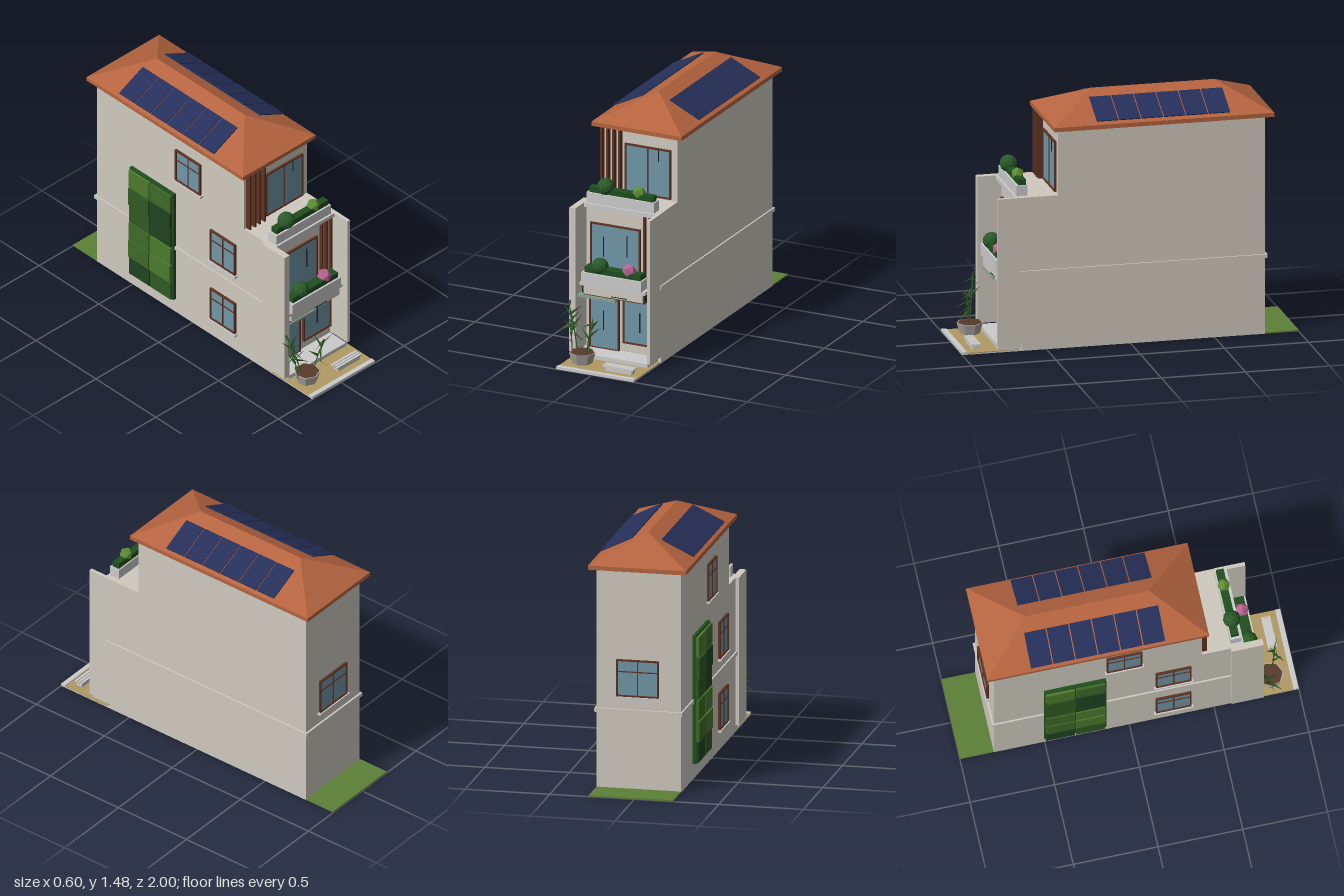
import * as THREE from 'three';
import { ConvexGeometry } from 'three/addons/geometries/ConvexGeometry.js';

const paint = (color, extra = {}) => new THREE.MeshStandardMaterial({ color, ...extra });
const WALL = paint(0xcfcabf), CONCRETE = paint(0xcccccc), TILE = paint(0xb5643f), WOOD = paint(0x5f3322);
const GLASS = paint(0x7196a6), DARK = paint(0x222222), PANEL = paint(0x26305a), CANOPY = paint(0x86a795);
const GRASS = paint(0x5d8038), SAND = paint(0xb09a63), SOIL = paint(0x5a3a2a);
const HEDGE = paint(0x1f4f1f), LEAF = paint(0x35602a, { side: THREE.DoubleSide });
const BUSH = paint(0x2a5a2a, { flatShading: true }), LIME = paint(0x5f8f35, { flatShading: true });
const PINK = paint(0xb8648f, { flatShading: true }), POT = paint(0xaaa49c, { flatShading: true });

function add(parent, name, geometry, material, x = 0, y = 0, z = 0) {
  const mesh = new THREE.Mesh(geometry, material);
  mesh.name = name;
  mesh.position.set(x, y, z);
  parent.add(mesh);
  return mesh;
}

// Box given by its limits on each axis
function box(parent, name, material, [x0, x1], [y0, y1], [z0, z1]) {
  const g = new THREE.BoxGeometry(x1 - x0, y1 - y0, z1 - z0);
  return add(parent, name, g, material, (x0 + x1) / 2, (y0 + y1) / 2, (z0 + z1) / 2);
}

function group(parent, name) {
  const g = new THREE.Group();
  g.name = name;
  parent.add(g);
  return g;
}

// Framed window centred on its own origin, facing +z
function windowUnit(parent, name, w, h, { bars = [], cross = false, sill = false, handles = [] } = {}) {
  const g = group(parent, name);
  const t = 0.009;
  const shape = new THREE.Shape().moveTo(-w / 2, -h / 2).lineTo(w / 2, -h / 2).lineTo(w / 2, h / 2).lineTo(-w / 2, h / 2).closePath();
  const a = w / 2 - t, b = h / 2 - t;
  shape.holes.push(new THREE.Path().moveTo(-a, -b).lineTo(-a, b).lineTo(a, b).lineTo(a, -b).closePath());
  add(g, 'frame', new THREE.ExtrudeGeometry(shape, { depth: 0.014, bevelEnabled: false }), WOOD);
  box(g, 'glass', GLASS, [-a, a], [-b, b], [0, 0.006]);
  for (const x of bars) box(g, 'mullion', WOOD, [x - 0.003, x + 0.003], [-b, b], [0, 0.011]);
  if (cross) box(g, 'transom', WOOD, [-a, a], [h * 0.16, h * 0.16 + 0.006], [0, 0.011]);
  if (sill) box(g, 'sill', CONCRETE, [-w / 2 - 0.01, w / 2 + 0.01], [-h / 2 - 0.014, -h / 2], [0, 0.022]);
  for (const [x, y0, y1] of handles) box(g, 'handle', DARK, [x - 0.002, x + 0.002], [y0, y1], [0.004, 0.013]);
  return g;
}

// Vertical timber slats
function slats(parent, name, xs, y, z) {
  const g = group(parent, name);
  for (const x of xs) box(g, 'slat', WOOD, [x - 0.006, x + 0.006], y, z);
}

// Planter box with a hedge strip and two faceted shrubs
function planter(parent, name, x, y, z, inset, shrubs) {
  const g = group(parent, name);
  box(g, 'planterBox', CONCRETE, x, y, z);
  box(g, 'hedge', HEDGE, [x[0] + inset, x[1] - 0.01], [y[1] - 0.005, y[1] + 0.034], [z[0] + 0.008, z[1] - 0.012]);
  for (const [sx, sy, r, m] of shrubs)
    add(g, 'shrub', new THREE.IcosahedronGeometry(r, r > 0.045 ? 1 : 0), m, sx, sy, (z[0] + z[1]) / 2);
}

// Leaning stalk with thin blades near its upper part
function bamboo(parent, from, to, leaves, seed) {
  const g = group(parent, 'bambooStalk');
  const a = new THREE.Vector3(...from), b = new THREE.Vector3(...to);
  const mid = a.clone().lerp(b, 0.5).setX(a.x + (b.x - a.x) * 0.35);
  const curve = new THREE.QuadraticBezierCurve3(a, mid, b);
  add(g, 'stem', new THREE.TubeGeometry(curve, 8, 0.0035, 5), LEAF);
  const blade = new THREE.ConeGeometry(0.009, 0.085, 4).translate(0, 0.042, 0).scale(1, 1, 0.25);
  for (let i = 0; i < leaves; i++) {
    const turn = i * 2.4 + seed;
    const p = curve.getPoint(0.4 + 0.6 * i / (leaves - 1));
    const leaf = add(g, 'leaf', blade, LEAF, p.x, p.y, p.z);
    const dir = new THREE.Vector3(Math.cos(turn), i % 3 ? 0.8 : -0.5, Math.sin(turn) * 0.7).normalize();
    leaf.quaternion.setFromUnitVectors(new THREE.Vector3(0, 1, 0), dir);
  }
}

export function createModel() {
  const house = new THREE.Group();
  house.name = 'house';

  // Plot: paving, front yard, rear lawn
  box(house, 'groundSlab', CONCRETE, [-0.23, 0.27], [0, 0.008], [-0.8, 1]);
  box(house, 'frontYard', SAND, [-0.23, 0.27], [0.006, 0.011], [0.66, 0.97]);
  box(house, 'frontKerb', CONCRETE, [-0.23, 0.27], [0, 0.016], [0.97, 1]);
  box(house, 'rearLawn', GRASS, [-0.23, 0.27], [0, 0.008], [-1, -0.8]);
  box(house, 'entranceStep', CONCRETE, [-0.21, 0.25], [0.005, 0.035], [0.64, 0.78]);

  // Walls
  box(house, 'lowerFloors', WALL, [-0.23, 0.27], [0.004, 0.92], [-0.8, 0.645]);
  box(house, 'topFloor', WALL, [-0.23, 0.27], [0.92, 1.315], [-0.8, 0.43]);
  box(house, 'rightFin', WALL, [-0.25, -0.21], [0.04, 0.92], [0.6, 0.79]);
  box(house, 'leftFin', WALL, [0.25, 0.272], [0.04, 0.92], [0.61, 0.79]);
  box(house, 'terraceEdge', CONCRETE, [-0.21, 0.25], [0.895, 0.92], [0.63, 0.68]);

  // String course on all sides
  const course = group(house, 'stringCourse');
  box(course, 'leftCourse', WALL, [0.26, 0.28], [0.457, 0.48], [-0.81, 0.665]);
  box(course, 'rightCourse', WALL, [-0.24, -0.22], [0.457, 0.48], [-0.81, 0.61]);
  box(course, 'rearCourse', WALL, [-0.24, 0.28], [0.457, 0.48], [-0.812, -0.79]);
  box(course, 'frontCourse', WALL, [-0.215, 0.28], [0.457, 0.48], [0.64, 0.665]);

  // Hipped roof with eaves
  const roof = group(house, 'roof');
  box(roof, 'eaves', TILE, [-0.27, 0.31], [1.311, 1.336], [-0.845, 0.462]);
  const hip = [-0.845, 0.462].flatMap(z => [-0.27, 0.31].map(x => new THREE.Vector3(x, 1.336, z)));
  hip.push(new THREE.Vector3(0.02, 1.477, -0.56), new THREE.Vector3(0.02, 1.477, 0.172));
  add(roof, 'hippedTop', new ConvexGeometry(hip), TILE);

  // Solar panels on both slopes
  const tilt = Math.atan2(0.141, 0.29);
  for (const side of [-1, 1]) {
    const array = group(house, side < 0 ? 'rightSolarArray' : 'leftSolarArray');
    array.position.set(0.02 + side * 0.182, 1.401, -0.19);
    array.rotation.z = -side * tilt;
    for (let i = 0; i < 6; i++)
      add(array, 'solarPanel', new THREE.BoxGeometry(0.21, 0.006, 0.126), PANEL, 0, 0, (i - 2.5) * 0.133);
  }

  // Front openings
  const front = (name, x, y, z, opts) =>
    windowUnit(house, name, x[1] - x[0], y[1] - y[0], opts).position.set((x[0] + x[1]) / 2, (y[0] + y[1]) / 2, z);
  front('frontDoor', [-0.186, 0.004], [0.03, 0.367], 0.645, { handles: [[-0.004, -0.05, 0.07]] });
  front('groundWindow', [0.028, 0.247], [0.09, 0.387], 0.645, { handles: [[0, -0.07, 0.05]] });
  front('balconyDoor', [-0.18, 0.142], [0.4, 0.8], 0.645, { handles: [[-0.077, 0, 0.12], [0.074, 0.02, 0.15]] });
  front('terraceDoor', [-0.065, 0.23], [0.93, 1.231], 0.43, { bars: [0], handles: [[0.068, 0.07, 0.14]] });
  slats(house, 'balconySlats', [0.171, 0.207, 0.243], [0.48, 0.9], [0.645, 0.668]);
  slats(house, 'terraceSlats', [-0.207, -0.168, -0.13, -0.092], [0.92, 1.311], [0.43, 0.462]);

  // Side and rear windows
  for (const [y, z] of [[1.08, -0.03], [0.66, 0.26], [0.235, 0.26]]) {
    const w = windowUnit(house, 'sideWindow', 0.21, 0.22, { bars: [0], cross: true, sill: true });
    w.position.set(-0.23, y, z);
    w.rotation.y = -Math.PI / 2;
  }
  const rear = windowUnit(house, 'rearWindow', 0.25, 0.22, { bars: [0], cross: true, sill: true });
  rear.position.set(0.025, 0.667, -0.8);
  rear.rotation.y = Math.PI;

  // Balcony, its brackets and the door canopy
  const balcony = group(house, 'balcony');
  box(balcony, 'balconySlab', WALL, [-0.17, 0.21], [0.397, 0.455], [0.64, 0.765]);
  box(balcony, 'balconyTrim', WOOD, [-0.175, 0.214], [0.388, 0.398], [0.64, 0.755]);
  box(balcony, 'balconyLedge', CONCRETE, [-0.192, 0.228], [0.448, 0.468], [0.64, 0.77]);
  box(balcony, 'louver', DARK, [0.01, 0.11], [0.404, 0.408], [0.76, 0.768]);
  for (const x of [-0.18, 0.216]) box(balcony, 'bracket', DARK, [x - 0.007, x + 0.007], [0.395, 0.45], [0.65, 0.75]);
  box(house, 'doorCanopy', CANOPY, [-0.212, 0.032], [0.37, 0.385], [0.645, 0.76]);

  planter(house, 'balconyPlanter', [-0.178, 0.207], [0.465, 0.532], [0.7, 0.78], 0.016,
    [[-0.075, 0.573, 0.05, BUSH], [0.113, 0.574, 0.043, PINK]]);
  planter(house, 'terracePlanter', [-0.2, 0.235], [0.92, 0.983], [0.603, 0.668], 0.015,
    [[-0.09, 1.025, 0.052, BUSH], [0.125, 1.022, 0.04, LIME]]);

  // Living wall of planted tiles
  const living = group(house, 'livingWall');
  box(living, 'backing', HEDGE, [-0.25, -0.23], [0.095, 0.86], [-0.505, -0.14]);
  const greens = [0x1f4420, 0x4c7a2c, 0x2f5a22, 0x3d6a28].map(c => paint(c));
  for (let row = 0; row < 6; row++)
    for (let col = 0; col < 2; col++) {
      const y = 0.1 + row * 0.126, z = -0.498 + col * 0.178;
      const depth = 0.263 + ((row * 2 + col * 3) % 3) * 0.004;
      box(living, 'plantedTile', greens[(row * 3 + col * 2 + (row >> 1)) % 4], [-depth, -0.245], [y, y + 0.118], [z, z + 0.17]);
    }

  // Bench in the yard
  const bench = group(house, 'bench');
  box(bench, 'benchBase', CONCRETE, [0.05, 0.22], [0.01, 0.035], [0.885, 0.925]);
  for (let i = 0; i < 3; i++)
    box(bench, 'benchSlat', CONCRETE, [0.035, 0.23], [0.035, 0.046], [0.878 + i * 0.019, 0.893 + i * 0.019]);

  // Faceted pot with bamboo
  const pot = group(house, 'pottedBamboo');
  add(pot, 'pot', new THREE.CylinderGeometry(0.078, 0.06, 0.064, 7), POT, -0.133, 0.042, 0.855);
  add(pot, 'soil', new THREE.CylinderGeometry(0.07, 0.07, 0.006, 7), SOIL, -0.133, 0.074, 0.855);
  bamboo(pot, [-0.17, 0.07, 0.845], [-0.24, 0.33, 0.81], 8, 0.4);
  bamboo(pot, [-0.2, 0.07, 0.85], [-0.225, 0.24, 0.83], 5, 2);
  bamboo(pot, [-0.1, 0.07, 0.87], [-0.04, 0.28, 0.9], 7, 1.2);
  return house;
}
